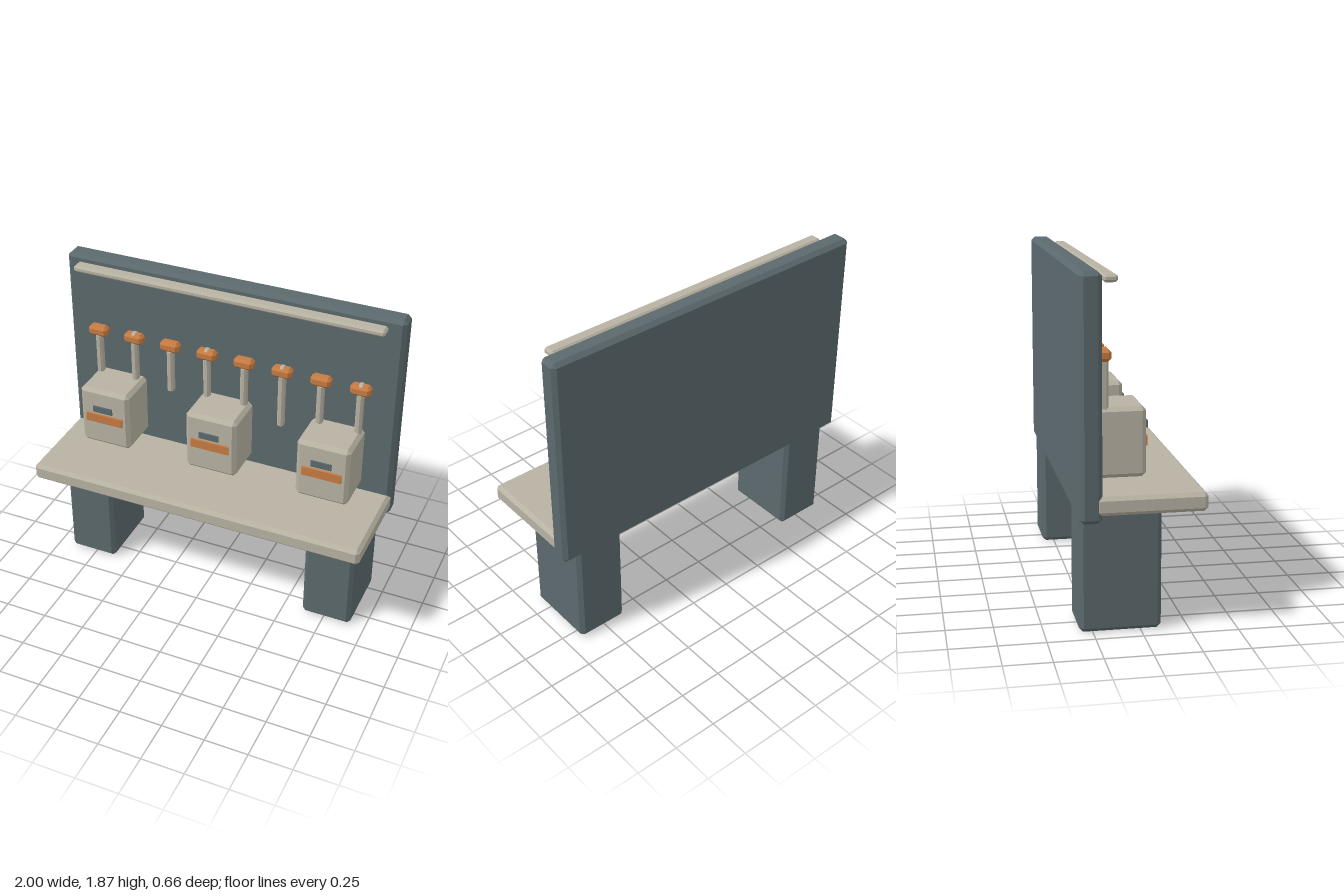
import * as THREE from 'three';
import { ConvexGeometry } from 'three/addons/geometries/ConvexGeometry.js';

const mat = (name, color) => {
  const m = new THREE.MeshStandardMaterial({ color });
  m.name = name;
  return m;
};

// Box with every edge cut at 45 degrees
function chamferBox(w, h, d, c) {
  const pts = [];
  const x = w / 2, y = h / 2, z = d / 2;
  for (const sx of [-1, 1]) for (const sy of [-1, 1]) for (const sz of [-1, 1]) {
    pts.push(
      new THREE.Vector3(sx * x, sy * (y - c), sz * (z - c)),
      new THREE.Vector3(sx * (x - c), sy * y, sz * (z - c)),
      new THREE.Vector3(sx * (x - c), sy * (y - c), sz * z)
    );
  }
  return new ConvexGeometry(pts);
}

export function createModel() {
  const slate = mat('slate', 0x5b696d);
  const beige = mat('beige', 0xb8b2a3);
  const orange = mat('orange', 0xc67b42);
  const model = new THREE.Group();
  model.name = 'toolBench';

  // Place a block by its extents; chamfer 0 gives a plain box
  function block(name, material, [x0, x1], [y0, y1], [z0, z1], chamfer = 0) {
    const w = x1 - x0, h = y1 - y0, d = z1 - z0;
    const geo = chamfer ? chamferBox(w, h, d, chamfer) : new THREE.BoxGeometry(w, h, d);
    const mesh = new THREE.Mesh(geo, material);
    mesh.name = name;
    mesh.position.set((x0 + x1) / 2, (y0 + y1) / 2, (z0 + z1) / 2);
    model.add(mesh);
  }
  const around = (c, size) => [c - size / 2, c + size / 2];

  // Main structure
  block('backPanel', slate, [-1, 1], [0.605, 1.87], [-0.327, -0.212], 0.022);
  block('worktop', beige, [-0.999, 0.999], [0.645, 0.745], [-0.25, 0.333], 0.02);
  for (const s of [-1, 1]) {
    block(s > 0 ? 'leftLeg' : 'rightLeg', slate, around(s * 0.765, 0.295), [0, 0.67], [-0.32, 0.11], 0.022);
  }
  block('topRail', beige, [-0.913, 0.913], [1.805, 1.845], [-0.193, -0.12], 0.012);

  // Storage boxes with a label strip and a small slot plate
  for (const x of [-0.67, 0, 0.67]) {
    block('storageBox', beige, around(x, 0.31), [0.793, 1.163], [-0.225, 0.044], 0.022);
    block('labelStrip', orange, around(x, 0.23), [0.95, 1.003], [0.03, 0.056]);
    block('slotPlate', slate, around(x, 0.12), [1.03, 1.068], [0.06, 0.069]);
  }

  // Hanging hammers, alternating short and long handles
  for (let i = 0; i < 8; i++) {
    const x = (i - 3.5) * 0.227;
    const length = i % 2 ? 0.396 : 0.28;
    block('hammerHandle', beige, around(x, 0.038), around(1.272, length), [-0.198, -0.15], 0.011);
    block('hammerHead', orange, around(x, 0.118), [1.401, 1.465], [-0.205, -0.14], 0.017);
  }
  return model;
}
